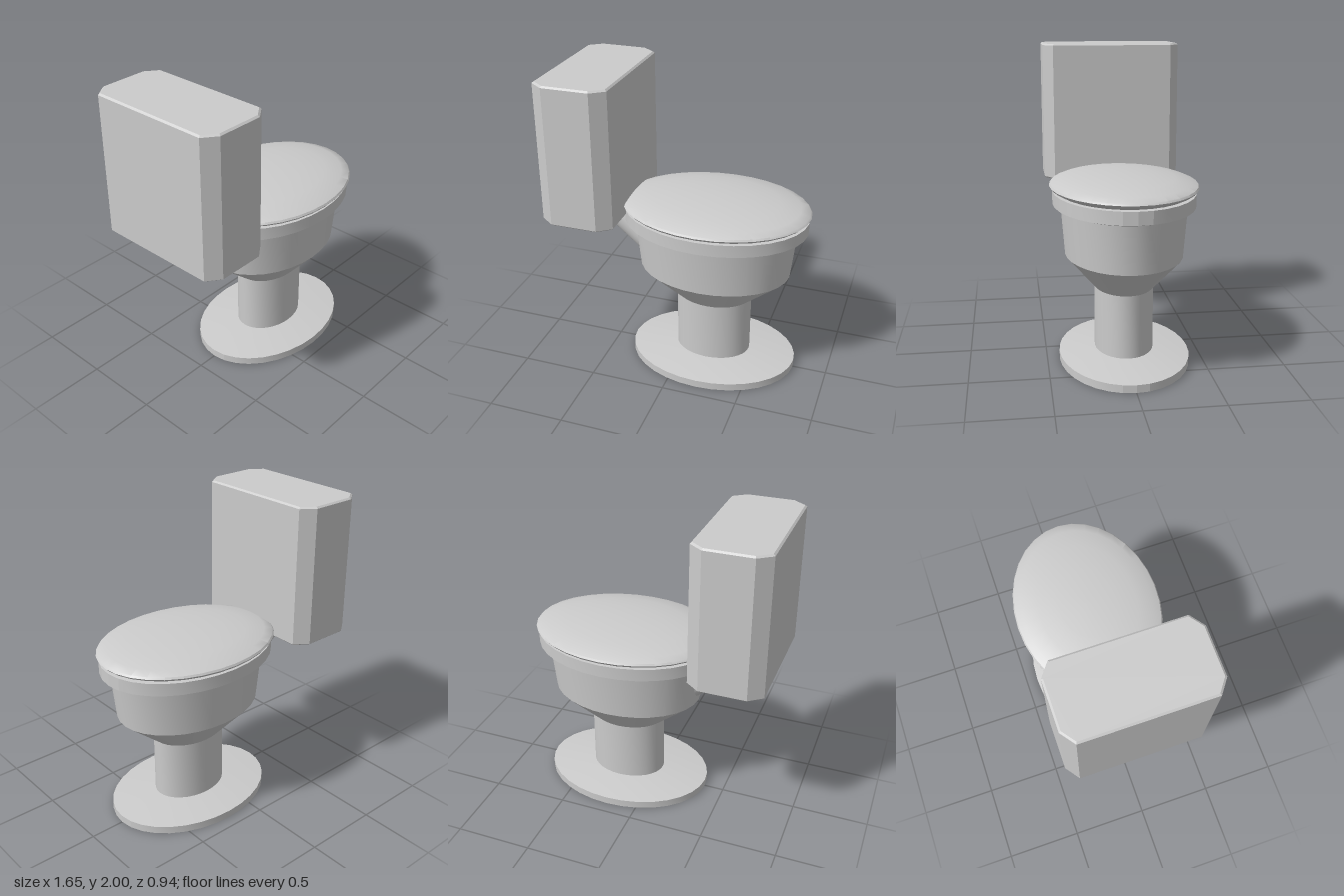
import * as THREE from 'three';
import { toCreasedNormals } from 'three/addons/utils/BufferGeometryUtils.js';

export function createModel() {
  const group = new THREE.Group();
  const material = new THREE.MeshStandardMaterial({ color: 0xcccccc });
  const bowlX = 0.203;

  const add = (name, geometry, crease = 0.4) => {
    const mesh = new THREE.Mesh(toCreasedNormals(geometry, crease), material);
    mesh.name = name;
    group.add(mesh);
    return mesh;
  };

  // Oval turned part: profile of [x radius, height] from bottom to top
  const oval = (name, profile, depth = 0.745, crease = 0.4) => {
    const points = profile.map(([r, y]) => new THREE.Vector2(r, y));
    const geometry = new THREE.LatheGeometry(points, 32);
    geometry.scale(1, 1, depth);
    geometry.translate(bowlX, 0, 0);
    return add(name, geometry, crease);
  };

  // Foot plate with a gently sloping top
  oval('base', [[0, 0], [0.57, 0], [0.57, 0.05], [0.25, 0.083], [0, 0.083]], 0.738, 0.25);

  // Pedestal column flaring into the bowl
  oval('pedestalAndBowl', [
    [0.254, 0.075], [0.254, 0.495], [0.505, 0.71], [0.538, 1.02], [0, 1.02],
  ], 0.743);

  // Seat ring overhanging the bowl
  oval('rim', [[0, 1.018], [0.538, 1.018], [0.607, 1.038], [0.607, 1.12], [0, 1.12]], 0.743, 0.25);

  // Domed lid with an undercut edge
  oval('lid', [
    [0, 1.12], [0.56, 1.12], [0.605, 1.14], [0.62, 1.155], [0.61, 1.167],
    [0.55, 1.186], [0.42, 1.207], [0.25, 1.221], [0, 1.228],
  ], 0.758, 0.6);

  // Cistern: box with cut corners and a fine bevel on top and bottom
  const bevel = 0.012;
  const w = 0.24 - bevel, d = 0.465 - bevel, cx = 0.08, cz = 0.06;
  const outline = new THREE.Shape([
    [w, -d + cz], [w, d - cz], [w - cx, d], [-w + cx, d],
    [-w, d - cz], [-w, -d + cz], [-w + cx, -d], [w - cx, -d],
  ].map(([x, y]) => new THREE.Vector2(x, y)));
  const tank = new THREE.ExtrudeGeometry(outline, {
    depth: 0.9, bevelEnabled: true, bevelSegments: 1, bevelSize: bevel, bevelThickness: 0.01,
  });
  tank.rotateX(-Math.PI / 2);
  tank.translate(-0.59, 1.09, 0);
  add('cistern', tank, 0.3);

  // Slanted flush pipe from cistern to bowl
  const top = new THREE.Vector3(-0.65, 1.164, 0);
  const bottom = new THREE.Vector3(-0.15, 0.744, 0);
  const axis = top.clone().sub(bottom);
  const pipe = add('flushPipe', new THREE.CylinderGeometry(0.092, 0.092, axis.length(), 24));
  pipe.position.copy(top).add(bottom).multiplyScalar(0.5);
  pipe.quaternion.setFromUnitVectors(new THREE.Vector3(0, 1, 0), axis.normalize());

  return group;
}
